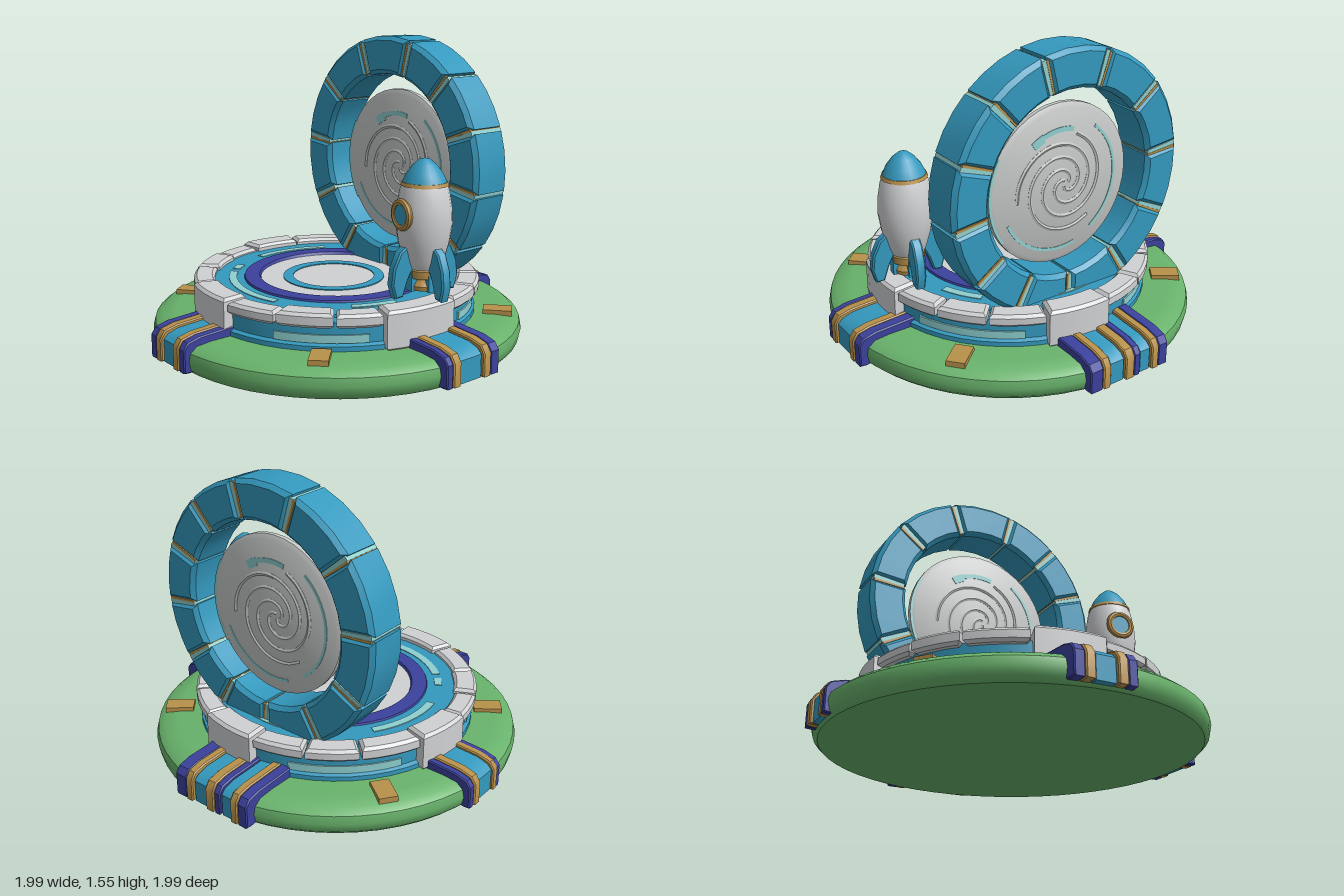
import * as THREE from 'three';
import { toCreasedNormals } from 'three/addons/utils/BufferGeometryUtils.js';

const mat = (name, color, side = THREE.FrontSide) => {
  const m = new THREE.MeshStandardMaterial({ color, side });
  m.name = name;
  return m;
};
const RAD = Math.PI / 180;

export function createModel() {
  const blue = mat('blue', 0x3499be);
  const white = mat('pale stone', 0xd0d1d3);
  const green = mat('grass green', 0x68b26b);
  const indigo = mat('indigo', 0x3b419c);
  const gold = mat('gold', 0xb8914a);
  const cyan = mat('light cyan', 0x8fd0d0);
  const grey = mat('portal grey', 0xc5c7c7);

  const model = new THREE.Group();
  model.name = 'portalPlatform';

  const add = (parent, name, geo, material, x = 0, y = 0, z = 0) => {
    const mesh = new THREE.Mesh(toCreasedNormals(geo, 0.6), material);
    mesh.name = name;
    mesh.position.set(x, y, z);
    parent.add(mesh);
    return mesh;
  };
  const group = (name, x = 0, y = 0, z = 0) => {
    const g = new THREE.Group();
    g.name = name;
    g.position.set(x, y, z);
    model.add(g);
    return g;
  };
  const lathe = (pts, seg = 48) =>
    new THREE.LatheGeometry(pts.map(p => new THREE.Vector2(p[0], p[1])), seg);
  const extrude = (pts, depth, b = 0) => {
    const shape = new THREE.Shape(pts.map(p => new THREE.Vector2(p[0], p[1])));
    return new THREE.ExtrudeGeometry(shape, {
      depth: depth - 2 * b, bevelEnabled: b > 0, bevelSize: b, bevelOffset: -b,
      bevelThickness: b, bevelSegments: 1,
    }).translate(0, 0, b);
  };
  // Ring segment in the XY plane, angles in degrees, extruded along +z
  const sector = (r0, r1, a0, a1, depth, b = 0, n = Math.ceil((a1 - a0) / 7)) => {
    const pts = [];
    for (let i = 0; i <= n; i++) pts.push([r1, a0 + (a1 - a0) * i / n]);
    for (let i = n; i >= 0; i--) pts.push([r0, a0 + (a1 - a0) * i / n]);
    return extrude(pts.map(([r, a]) => [r * Math.cos(a * RAD), r * Math.sin(a * RAD)]), depth, b);
  };
  // Same, lying flat; angles run from +x towards +z
  const flatSector = (r0, r1, a0, a1, h, b) =>
    sector(r0, r1, -a1, -a0, h, b).rotateX(-Math.PI / 2);

  // Grass base
  add(model, 'grassBase', lathe([[0, 0], [0.94, 0], [0.965, 0.025], [0.975, 0.07], [0.965, 0.11],
    [0.93, 0.138], [0.85, 0.146], [0, 0.148]], 56), green, -0.005, 0, -0.005);

  // Straps over the rim: [start, width, colour] across each strap
  const I = indigo, G = gold, B = blue;
  const straps = {
    rightwardStrap: [0, [[-0.18, 0.06, I], [-0.12, 0.05, G], [-0.07, 0.15, B], [0.08, 0.05, G], [0.13, 0.04, I]]],
    frontStrap: [-90, [[-0.07, 0.05, I], [-0.02, 0.05, G], [0.03, 0.11, B], [0.14, 0.05, G], [0.19, 0.055, I]]],
    leftwardStrap: [180, [[-0.08, 0.04, I], [-0.05, 0.04, G], [-0.02, 0.13, B], [0.11, 0.05, G], [0.16, 0.04, I]]],
    backStrap: [90, [[-0.27, 0.06, I], [-0.21, 0.045, G], [-0.165, 0.07, B], [-0.095, 0.04, I],
      [-0.055, 0.055, G], [0, 0.09, B], [0.09, 0.045, G], [0.135, 0.075, I]]],
  };
  for (const [name, [angle, bands]] of Object.entries(straps)) {
    const g = group(name);
    g.rotation.y = angle * RAD;
    for (const [z, w, m] of bands) {
      const d = m === blue ? 0.018 : m === gold ? 0.004 : 0.008;
      add(g, 'strapBand', extrude([[0.68, 0.1], [0.9, 0.02], [0.96, 0.012], [1 - d, 0.015], [1 - d, 0.13],
        [0.975 - d, 0.172 - d], [0.9, 0.19 - d], [0.68, 0.203 - d]], w, 0.006), m, 0, 0, z);
    }
  }

  // Gold tabs on the grass
  for (const [x, z] of [[-0.7, -0.5], [-0.66, 0.5], [0.58, 0.58], [0.65, -0.55]]) {
    add(model, 'goldTab', new THREE.BoxGeometry(0.15, 0.04, 0.095), gold, x, 0.147, z)
      .rotation.y = -Math.atan2(z, x);
  }

  // Platform wall, floor rings and lights
  const deck = group('platform', -0.005, 0, 0);
  add(deck, 'platformWall', lathe([[0.735, 0.14], [0.735, 0.17], [0.715, 0.18], [0.715, 0.28], [0.64, 0.29], [0, 0.29]]), blue);
  add(deck, 'outerFloorRing', lathe([[0.66, 0.27], [0.66, 0.304], [0.48, 0.304]]
    ), blue);
  add(deck, 'indigoFloorRing', lathe([[0.495, 0.295], [0.488, 0.314], [0.41, 0.314], [0.4, 0.295]]), indigo);
  add(deck, 'centreFloor', new THREE.CylinderGeometry(0.405, 0.405, 0.02, 48), white, 0, 0.29, 0.005);
  add(deck, 'floorCircle', lathe([[0.268, 0.298], [0.268, 0.305], [0.215, 0.305], [0.215, 0.298]]), blue, 0, 0, 0.02);
  for (const [a0, a1] of [[72, 134], [139, 147], [168, 212], [8, 32], [318, 340], [236, 292]])
    add(deck, 'floorLight', flatSector(0.53, 0.572, a0, a1, 0.008, 0), cyan, 0, 0.3, 0);
  for (const [a0, a1] of [[27, 64], [118, 160], [205, 250], [298, 342]])
    add(deck, 'wallLight', flatSector(0.7, 0.723, a0, a1, 0.04, 0), cyan, 0, 0.182, 0);

  // Stone rim, with a full-height block on each of the four sides
  const rim = [84, 111, 135, 155, 174, 198, 222, 243, 264, 290, 312, 332, 351, 382, 400, 422, 444];
  for (let i = 0; i < rim.length - 1; i++) {
    const tall = i % 4 === 0;
    const y0 = tall ? 0.14 : 0.262, top = tall ? 0.338 : 0.326 + (i % 3) * 0.004;
    add(deck, tall ? 'tallRimBlock' : 'rimBlock',
      flatSector(0.635 + (i % 2) * 0.01, tall ? 0.768 : 0.755, rim[i] + 0.5, rim[i + 1] - 0.5, top - y0, 0.015), white, 0, y0, 0);
  }

  // Upright ring of blocks with gold and cyan joints
  const gate = group('gateRing', 0.005, 0.88, -0.445);
  const joints = [75, 108, 141, 174, 206, 238, 270, 298, 324, 352, 380, 407, 435];
  for (let i = 0; i < joints.length - 1; i++) {
    add(gate, 'ringBlock', sector(0.475, 0.675, joints[i] + 1, joints[i + 1] - 1, 0.235, 0.022, 3), blue, 0, 0, -0.1175);
    add(gate, 'cyanJoint', sector(0.487, 0.662, joints[i] - 1.6, joints[i] + 0.6, 0.215), cyan, 0, 0, -0.1075);
    add(gate, 'goldJoint', sector(0.485, 0.658, joints[i] + 0.5, joints[i] + 1.7, 0.219), gold, 0, 0, -0.1095);
  }

  // Floating portal disc, the same swirl on both faces
  const portal = group('portalDisc', 0.01, 0.852, -0.445);
  add(portal, 'disc', lathe([[0, -0.025], [0.39, -0.025], [0.415, -0.012], [0.415, 0.012], [0.39, 0.025], [0, 0.025]], 40)
    .rotateX(Math.PI / 2), grey);
  for (const face of [0, Math.PI]) {
    const side = new THREE.Group();
    side.name = 'portalFace';
    side.rotation.y = face;
    portal.add(side);
    for (const arm of [0, 120, 240]) {
      const pts = [];
      for (let i = 0; i <= 24; i++) {
        const t = i / 24, a = arm * RAD + t * 7.5, r = 0.015 + 0.25 * t;
        pts.push(new THREE.Vector3(0.03 * (1 - t) + r * Math.cos(a), r * Math.sin(a), 0));
      }
      const ridge = new THREE.TubeGeometry(new THREE.CatmullRomCurve3(pts), 60, 0.011, 5).scale(1, 1, 0.7);
      add(side, 'swirlRidge', ridge, grey, 0, 0, 0.025);
    }
    for (const [r0, r1, a0, a1] of [[0.325, 0.34, -55, 52], [0.335, 0.35, 205, 285], [0.27, 0.295, 75, 112],
      [0.255, 0.3, 112, 126], [0.4, 0.415, 150, 215]])
      add(side, 'cyanStreak', sector(r0, r1, a0, a1, 0.006), cyan, 0, 0, r0 > 0.39 ? 0.013 : 0.022);
  }

  // Rocket
  const rocket = group('rocket', 0.625, 0, -0.025);
  rocket.rotation.y = -0.15;
  add(rocket, 'rocketBody', lathe([[0, 0.485], [0.085, 0.485], [0.1, 0.52], [0.125, 0.61], [0.138, 0.7],
    [0.134, 0.78], [0.12, 0.86], [0.106, 0.9], [0, 0.9]], 20), white);
  add(rocket, 'noseBand', lathe([[0.1, 0.888], [0.116, 0.888], [0.11, 0.905], [0.1, 0.905]], 20), gold);
  add(rocket, 'noseCone', lathe([[0, 0.9], [0.108, 0.902], [0.088, 0.945], [0.055, 0.988], [0.025, 1.012], [0, 1.018]], 20), blue);
  add(rocket, 'nozzle', lathe([[0, 0.378], [0.072, 0.378], [0.076, 0.4], [0.06, 0.425], [0.06, 0.435],
    [0.085, 0.44], [0.088, 0.478], [0.075, 0.49], [0, 0.49]], 16), gold);
  for (let i = 0; i < 4; i++) {
    const fin = add(rocket, 'fin', extrude([[0.07, 0.5], [0.105, 0.43], [0.13, 0.355], [0.175, 0.35], [0.195, 0.42],
      [0.185, 0.5], [0.15, 0.575], [0.1, 0.61]], 0.052, 0.008).translate(0, 0, -0.026), blue);
    fin.rotation.y = i * Math.PI / 2;
    const strut = add(rocket, 'finStrut', new THREE.BoxGeometry(0.1, 0.11, 0.05).translate(0.035, 0.43, 0), blue);
    strut.rotation.y = i * Math.PI / 2;
  }
  add(rocket, 'windowFrame', new THREE.TorusGeometry(0.062, 0.017, 8, 20), gold, 0, 0.755, 0.13);
  add(rocket, 'windowGlass', new THREE.CylinderGeometry(0.058, 0.058, 0.03, 20).rotateX(Math.PI / 2), blue, 0, 0.755, 0.123);

  // Lathe profiles that run downwards or are open show both faces
  for (const m of [blue, indigo, gold]) m.side = THREE.DoubleSide;
  return model;
}
